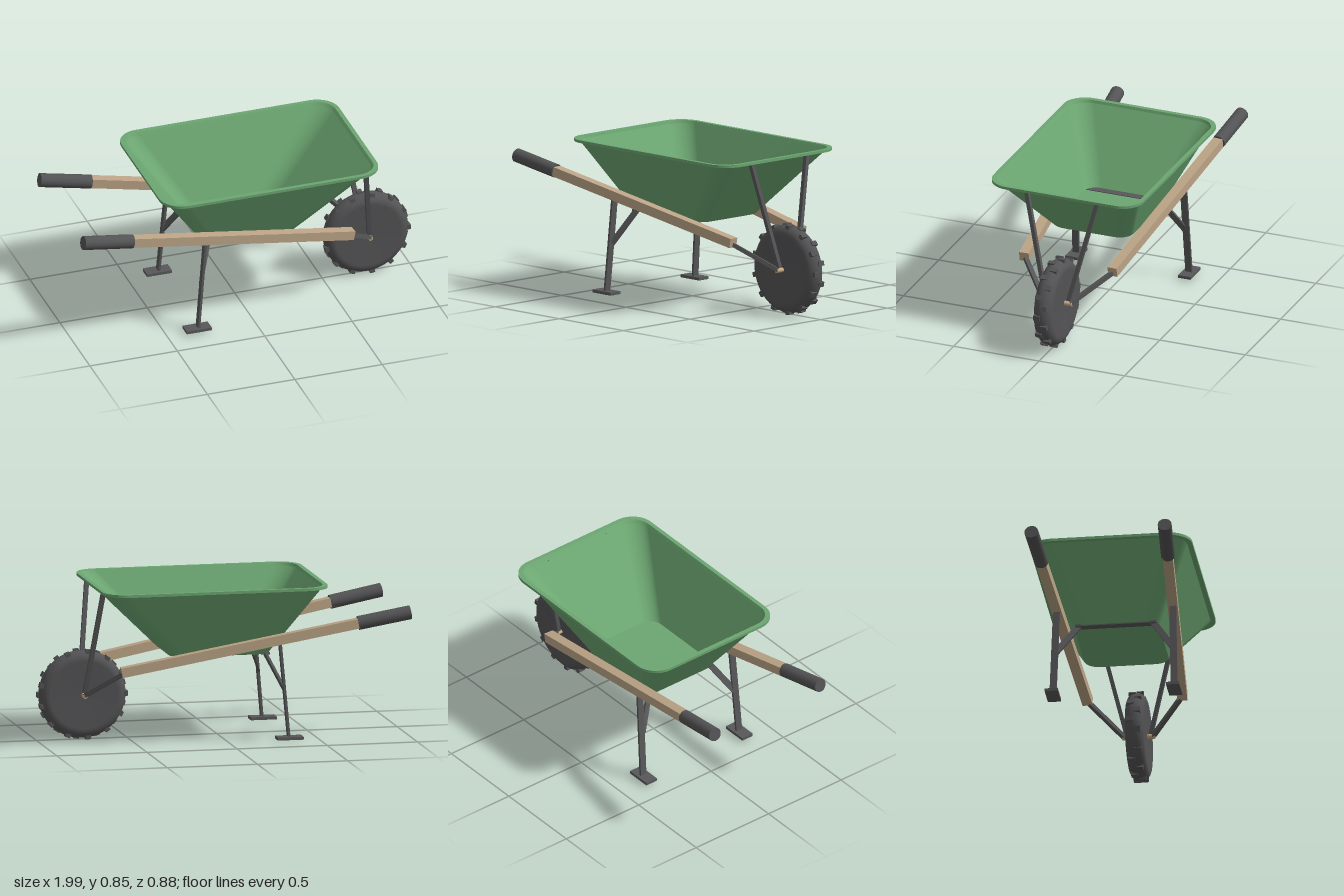
import * as THREE from 'three';

const mat = (name, color, side = THREE.FrontSide) => {
  const m = new THREE.MeshStandardMaterial({ color, side });
  m.name = name;
  return m;
};

// Rounded rectangle loop at height y, going counter-clockwise seen from above
function ring(x0, x1, hz, r, y, seg = 8) {
  const pts = [];
  const corners = [[x1 - r, hz - r], [x0 + r, hz - r], [x0 + r, -hz + r], [x1 - r, -hz + r]];
  corners.forEach(([cx, cz], q) => {
    for (let i = 0; i <= seg; i++) {
      const a = (q + i / seg) * Math.PI / 2;
      pts.push([cx + r * Math.cos(a), y, cz + r * Math.sin(a)]);
    }
  });
  return pts;
}

// Strip of faces between two loops; its outside faces away when going up the outer wall
function strip(a, b) {
  const n = a.length, index = [];
  for (let i = 0; i < n; i++) {
    const j = (i + 1) % n;
    index.push(i, n + i, j, j, n + i, n + j);
  }
  const g = new THREE.BufferGeometry();
  g.setAttribute('position', new THREE.Float32BufferAttribute([...a, ...b].flat(), 3));
  g.setIndex(index);
  g.computeVertexNormals();
  return g;
}

export function createModel() {
  const model = new THREE.Group();
  model.name = 'wheelbarrow';
  const green = mat('green paint', 0x6ca671);
  const wood = mat('wood', 0xbca486);
  const metal = mat('dark metal', 0x58585a);
  const rubber = mat('rubber', 0x535355);
  const brass = mat('axle tan', 0xc6a982);

  const add = (name, geo, material, parent = model) => {
    const m = new THREE.Mesh(geo, material);
    m.name = name;
    parent.add(m);
    return m;
  };

  // Bar from p to q; thickness t is measured along the hint direction, width w across it
  const bar = (name, p, q, w, t, hint, material, round = false) => {
    const a = new THREE.Vector3(...p), b = new THREE.Vector3(...q);
    const dir = b.clone().sub(a), len = dir.length();
    dir.normalize();
    const up = new THREE.Vector3(...hint);
    up.addScaledVector(dir, -up.dot(dir)).normalize();
    const across = new THREE.Vector3().crossVectors(up, dir);
    const geo = round
      ? new THREE.CylinderGeometry(w / 2, w / 2, len, 24).rotateX(Math.PI / 2)
      : new THREE.BoxGeometry(w, t, len);
    const m = add(name, geo, material);
    m.quaternion.setFromRotationMatrix(new THREE.Matrix4().makeBasis(across, up, dir));
    m.position.copy(a).add(b).multiplyScalar(0.5);
    return m;
  };

  // Tub: loops from the underside, over the rim, down to the inside floor
  const tub = new THREE.Group();
  tub.name = 'tub';
  model.add(tub);
  const centre = (y) => ring(0.02, 0.02, 0, 0, y);
  const loops = [
    centre(0.47),
    ring(-0.25, 0.3, 0.23, 0.08, 0.47),
    ring(-0.515, 0.675, 0.413, 0.11, 0.843),
    ring(-0.54, 0.705, 0.44, 0.125, 0.843),
    ring(-0.54, 0.705, 0.44, 0.125, 0.858),
    ring(-0.515, 0.682, 0.417, 0.11, 0.858),
    ring(-0.51, 0.67, 0.409, 0.106, 0.843),
    ring(-0.245, 0.295, 0.225, 0.078, 0.474),
    centre(0.474),
  ];
  const names = ['underside', 'outerWall', 'rimUnderside', 'rimEdge', 'rimTop', 'rimInnerEdge', 'innerWall', 'floor'];
  names.forEach((name, i) => add(name, strip(loops[i], loops[i + 1]), green, tub));

  // Wheel: solid tyre with staggered tread blocks
  const wheel = new THREE.Group();
  wheel.name = 'wheel';
  wheel.position.set(0.748, 0.25, 0);
  model.add(wheel);
  const profile = [[0, -0.046], [0.1, -0.048], [0.185, -0.053]].map(([r, z]) => new THREE.Vector2(r, z));
  for (let i = 1; i < 12; i++) {
    const a = -Math.PI / 2 + (i / 12) * Math.PI;
    profile.push(new THREE.Vector2(0.188 + 0.053 * Math.cos(a), 0.053 * Math.sin(a)));
  }
  profile.push(...profile.slice(0, 3).reverse().map((v) => new THREE.Vector2(v.x, -v.y)));
  add('tyre', new THREE.LatheGeometry(profile, 48).rotateX(Math.PI / 2), rubber, wheel);
  for (let i = 0; i < 26; i++) {
    const a = (i / 26) * Math.PI * 2;
    const lug = add('treadBlock', new THREE.BoxGeometry(0.03, 0.028, 0.038), rubber, wheel);
    lug.position.set(0.232 * Math.cos(a), 0.232 * Math.sin(a), i % 2 ? -0.018 : 0.018);
    lug.rotation.z = a;
  }
  const axle = add('axle', new THREE.CylinderGeometry(0.013, 0.013, 0.18, 20), brass, wheel);
  axle.rotation.x = Math.PI / 2;

  // Cross brace under the tub
  const brace = add('crossBrace', new THREE.BoxGeometry(0.045, 0.012, 0.44), metal);
  brace.position.set(-0.222, 0.471, 0);

  // Paired frame parts, mirrored in z
  const X = [1, 0, 0], Y = [0, 1, 0];
  for (const s of [1, -1]) {
    bar('handleBeam', [-0.74, 0.647, s * 0.347], [0.587, 0.403, s * 0.258], 0.055, 0.052, Y, wood);
    bar('grip', [-0.992, 0.693, s * 0.364], [-0.705, 0.641, s * 0.345], 0.076, 0, Y, rubber, true);
    bar('leg', [-0.325, 0.015, s * 0.331], [-0.278, 0.55, s * 0.317], 0.038, 0.013, X, metal);
    bar('legBrace', [-0.302, 0.29, s * 0.316], [-0.22, 0.473, s * 0.205], 0.034, 0.013, X, metal);
    const foot = add('foot', new THREE.BoxGeometry(0.143, 0.016, 0.072), metal);
    foot.position.set(-0.328, 0.024, s * 0.331);
    bar('tubStay', [0.746, 0.268, s * 0.068], [0.675, 0.838, s * 0.206], 0.022, 0.024, X, metal);
    bar('wheelFork', [0.565, 0.402, s * 0.265], [0.748, 0.252, s * 0.078], 0.024, 0.022, Y, metal);
  }
  return model;
}
